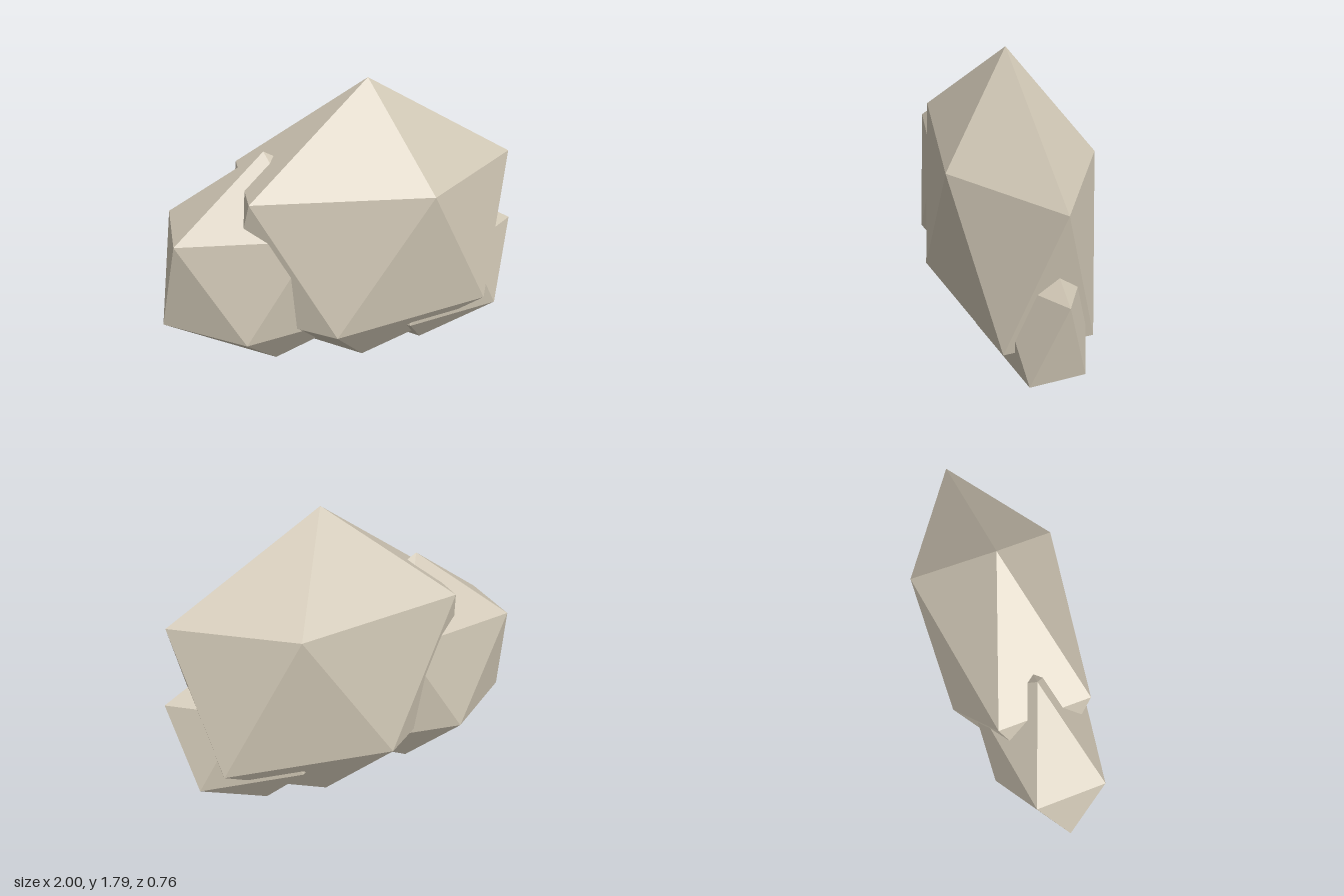
import * as THREE from 'three';

const stone = new THREE.MeshStandardMaterial({ color: 0xcfc6b4, flatShading: true });
stone.name = 'paleStone';

// A flattened icosahedron standing on one point, with an upper corner towards +x
function makeBoulder(name, radius, x, y) {
  const geometry = new THREE.IcosahedronGeometry(1, 0);
  geometry.rotateX(-Math.atan2((1 + Math.sqrt(5)) / 2, 1));
  geometry.rotateY(Math.PI / 2);
  geometry.scale(radius, radius, radius / 2);
  const boulder = new THREE.Mesh(geometry, stone);
  boulder.name = name;
  boulder.position.set(x, y, 0);
  return boulder;
}

export function createModel() {
  const group = new THREE.Group();
  group.name = 'boulderCluster';
  group.add(
    makeBoulder('largeBoulder', 0.894, 0.14, 0.897), // centre
    makeBoulder('mediumBoulder', 0.682, -0.39, 0.773), // right side
    makeBoulder('smallBoulder', 0.55, 0.508, 0.617), // left side
  );
  return group;
}
